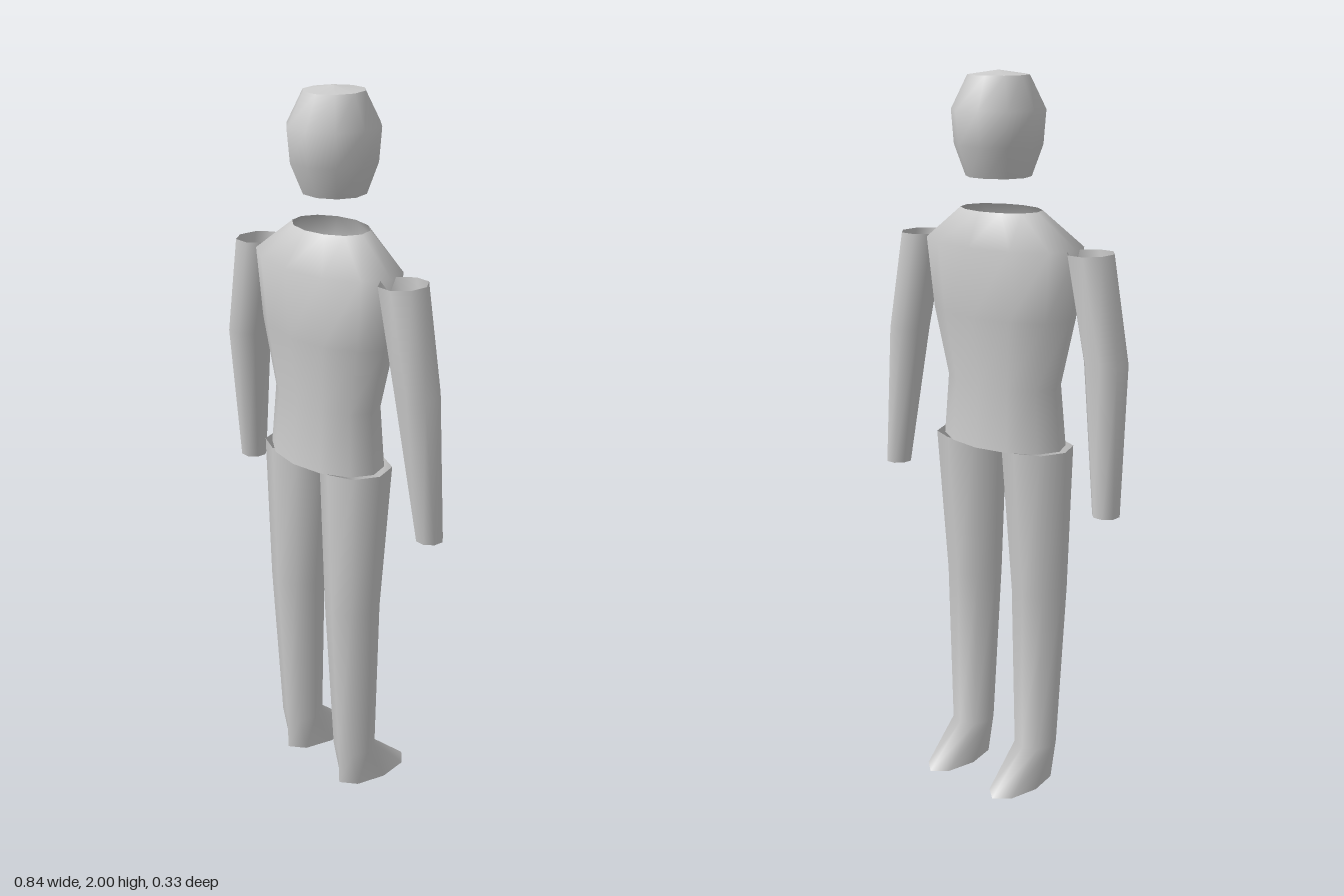
import * as THREE from 'three';

const grey = new THREE.MeshStandardMaterial({ color: 0xcccccc, side: THREE.DoubleSide });
grey.name = 'plain grey';

// Smooth tube through elliptical rings [y, xMin, xMax, zMin, zMax], listed bottom to top.
// 'turn' rotates the first corner.
function loft(name, rings, sides, turn) {
  const pos = [], index = [];
  for (const [y, x0, x1, z0, z1] of rings) {
    for (let i = 0; i < sides; i++) {
      const a = turn + (i / sides) * Math.PI * 2;
      pos.push((x0 + x1) / 2 + Math.cos(a) * (x1 - x0) / 2, y, (z0 + z1) / 2 + Math.sin(a) * (z1 - z0) / 2);
    }
  }
  for (let r = 0; r < rings.length - 1; r++) {
    for (let i = 0; i < sides; i++) {
      const a = r * sides + i, b = r * sides + (i + 1) % sides, c = a + sides, d = b + sides;
      index.push(a, c, b, b, c, d);
    }
  }
  const geo = new THREE.BufferGeometry();
  geo.setAttribute('position', new THREE.Float32BufferAttribute(pos, 3));
  geo.setIndex(index);
  geo.computeVertexNormals();
  const mesh = new THREE.Mesh(geo, grey);
  mesh.name = name;
  return mesh;
}

export function createModel() {
  const model = new THREE.Group();
  model.name = 'mannequin';

  // Head: rounded wall with a separate crown and chin, so their rims stay sharp
  const chin = [1.727, -0.09, 0.09, -0.085, 0.085];
  const crown = [1.988, -0.08, 0.08, -0.085, 0.085];
  const head = new THREE.Group();
  head.name = 'head';
  head.add(
    loft('chin', [[1.727, 0, 0, 0, 0], chin], 10, 0),
    loft('skull', [
      chin,
      [1.81, -0.116, 0.116, -0.122, 0.122],
      [1.90, -0.122, 0.122, -0.131, 0.131],
      crown,
    ], 10, 0),
    loft('crown', [crown, [2.0, 0, 0, 0, 0]], 10, 0),
  );
  model.add(head);

  // Torso: open at the neck and waist
  model.add(loft('torso', [
    [0.998, -0.197, 0.197, -0.095, 0.145],
    [1.17, -0.182, 0.182, -0.085, 0.132],
    [1.36, -0.23, 0.23, -0.107, 0.152],
    [1.55, -0.252, 0.252, -0.122, 0.165],
    [1.64, -0.125, 0.125, -0.075, 0.097],
  ], 12, 0));

  for (const side of [1, -1]) {
    const prefix = side > 0 ? 'left' : 'right';
    const ring = ([y, a, b, z0, z1]) => (side > 0 ? [y, a, b, z0, z1] : [y, -b, -a, z0, z1]);

    // Arms: wrist, elbow, shoulder
    model.add(loft(prefix + 'Arm', [
      [0.867, 0.347, 0.422, -0.046, 0.029],
      [1.27, 0.297, 0.414, -0.045, 0.081],
      [1.55, 0.235, 0.358, -0.05, 0.091],
    ].map(ring), 8, Math.PI / 8));

    // Legs: pointed foot, ankle, knee, hip
    model.add(loft(prefix + 'Leg', [
      [0, 0.062, 0.18, -0.165, 0.08],
      [0.11, 0.06, 0.182, -0.035, 0.083],
      [0.58, 0.042, 0.202, -0.04, 0.11],
      [1.0, 0.022, 0.22, -0.075, 0.122],
    ].map(ring), 8, 0));
  }
  return model;
}
